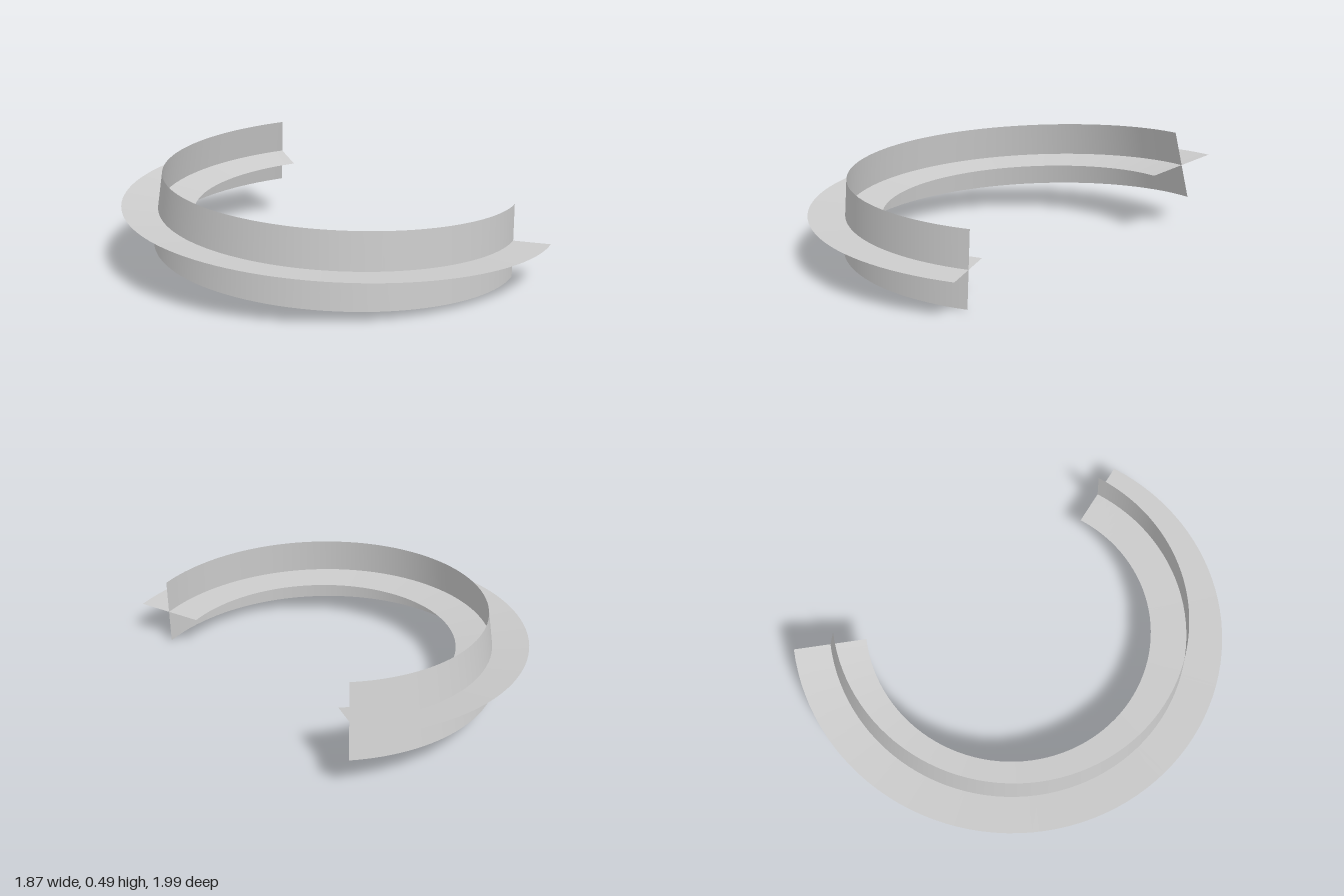
import * as THREE from 'three';

const SEGMENTS = 72;
const RADIUS = 0.84;
const HALF_WIDTH = 0.168;
const deg = THREE.MathUtils.degToRad;

// Centre line: a rising arc, open on the right; t runs from the low end to the high end
function centre(t) {
  const a = deg(31 + 228.8 * t);
  const y = 0.172 + 0.127 * t + 0.036 * t * t;
  return new THREE.Vector3(0.07 + RADIUS * Math.cos(a), y, -0.01 + RADIUS * Math.sin(a));
}

// Cross axes at t: outward and upward, rolling slowly inward as the arc climbs
function axes(t) {
  const a = deg(31 + 228.8 * t - 3 * t ** 3);
  const pitch = (0.127 + 0.072 * t) / (RADIUS * deg(228.8));
  const radial = new THREE.Vector3(Math.cos(a), 0, Math.sin(a));
  const tangent = new THREE.Vector3(-Math.sin(a), pitch, Math.cos(a)).normalize();
  const up = new THREE.Vector3().crossVectors(tangent, radial);
  const roll = deg(0.7 + 11.6 * t);
  return {
    out: radial.applyAxisAngle(tangent, roll),
    up: up.applyAxisAngle(tangent, roll),
  };
}

// Thin band swept along the centre line, spread along one of the cross axes
function ribbon(name, axis, material) {
  const geometry = new THREE.PlaneGeometry(1, 1, SEGMENTS, 2);
  const pos = geometry.attributes.position;
  for (let i = 0; i < pos.count; i++) {
    const t = pos.getX(i) + 0.5;
    const side = pos.getY(i) * 2;
    const p = centre(t).addScaledVector(axes(t)[axis], side * HALF_WIDTH);
    pos.setXYZ(i, p.x, p.y, p.z);
  }
  geometry.computeVertexNormals();
  const mesh = new THREE.Mesh(geometry, material);
  mesh.name = name;
  return mesh;
}

export function createModel() {
  const group = new THREE.Group();
  group.name = 'crossedRibbonArc';
  const material = new THREE.MeshStandardMaterial({ color: 0xcccccc, side: THREE.DoubleSide });
  group.add(ribbon('uprightBand', 'up', material));
  group.add(ribbon('flatBand', 'out', material));
  return group;
}
